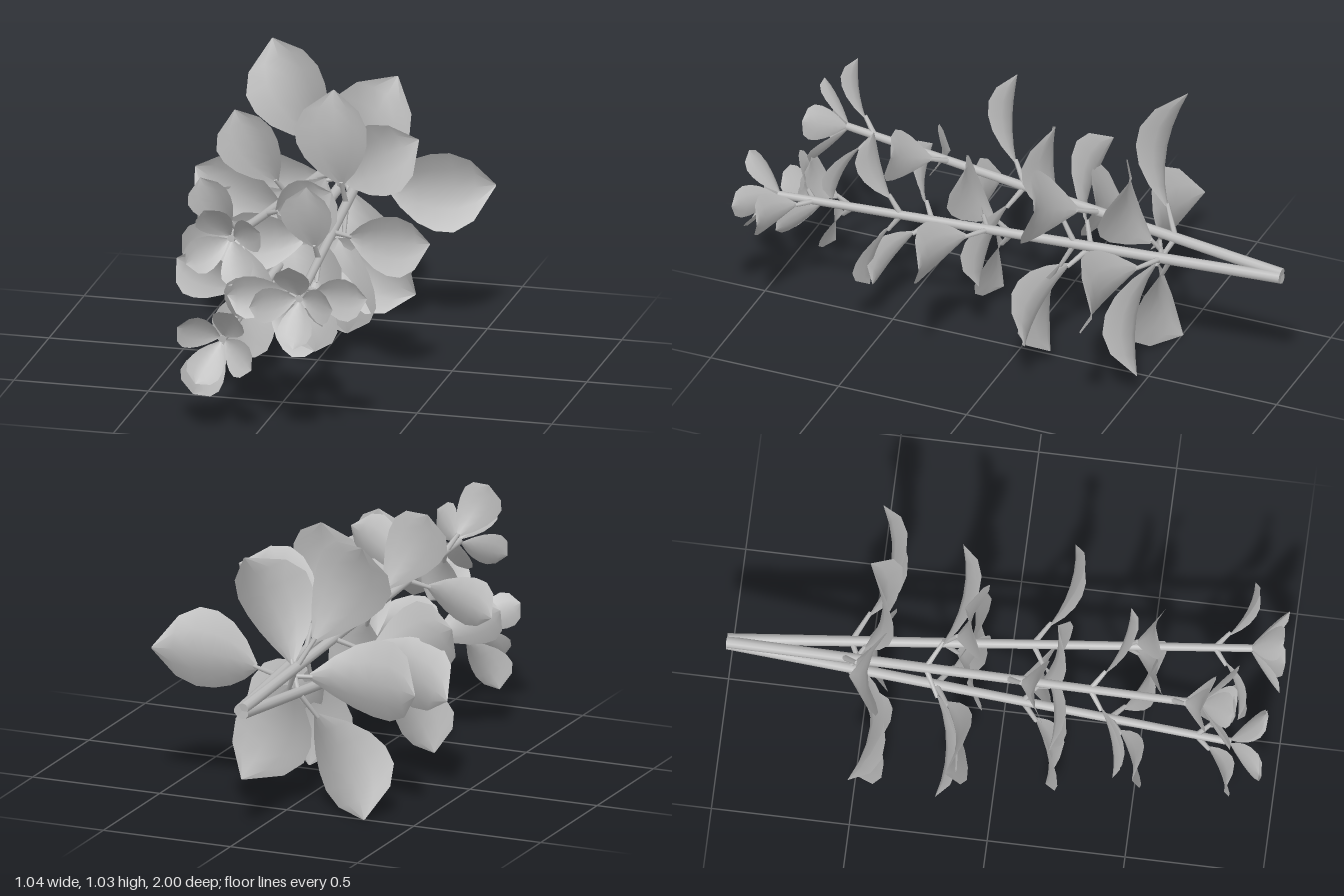
import * as THREE from 'three';

const AXIS = new THREE.Vector2(-0.045, 0.533); // where the stems meet, in x and y
const BASE_Z = -1;

// Half width of a blade from its base to its tip
const OUTLINE = [0.08, 0.5, 0.8, 0.97, 1, 0.76, 0.02];

// Leaf pairs from oldest to youngest: reach, width, and height of the base, middle and tip
const NODES = [
  { reach: 0.52, width: 0.30, base: 0.045, mid: 0.10, tip: 0.045 },
  { reach: 0.46, width: 0.27, base: 0.045, mid: 0.10, tip: 0.08 },
  { reach: 0.39, width: 0.23, base: 0.045, mid: 0.10, tip: 0.10 },
  { reach: 0.31, width: 0.19, base: 0.04, mid: 0.095, tip: 0.11 },
  { reach: 0.26, width: 0.16, base: 0.04, mid: 0.095, tip: 0.11 },
];
const BUD = { reach: 0.155, width: 0.13, base: 0.005, mid: 0.06, tip: 0.125, start: 0.012 };

// Stems: direction of lean, first node, node spacing and tip along z
const STEMS = [
  { angle: 3, first: -0.55, step: 0.325, tip: 0.88 },
  { angle: 117, first: -0.57, step: 0.30, tip: 0.735 },
  { angle: 243, first: -0.55, step: 0.317, tip: 0.84 },
];

// Cupped blade growing along +x, with its upper face towards +z
function bladeGeometry(p) {
  const start = p.start ?? p.reach * 0.2;
  const g = new THREE.PlaneGeometry(1, 2, OUTLINE.length - 1, 4);
  const pos = g.attributes.position;
  for (let i = 0; i < pos.count; i++) {
    const t = pos.getX(i) + 0.5;
    const u = pos.getY(i);
    const half = OUTLINE[Math.round(t * (OUTLINE.length - 1))] * p.width / 2;
    // Midrib: a parabola through base, middle and tip
    const rib = p.base * (1 - t) * (1 - 2 * t) + p.mid * 4 * t * (1 - t) + p.tip * t * (2 * t - 1);
    pos.setXYZ(i, start + (p.reach - start) * t, u * half, rib + 0.38 * half * u * u);
  }
  g.computeVertexNormals();
  return g;
}

// Tapered rod between two points
function rod(a, b, r0, r1, sides, material) {
  const dir = b.clone().sub(a);
  const mesh = new THREE.Mesh(new THREE.CylinderGeometry(r1, r0, dir.length(), sides), material);
  mesh.position.copy(a).add(b).multiplyScalar(0.5);
  mesh.quaternion.setFromUnitVectors(new THREE.Vector3(0, 1, 0), dir.normalize());
  return mesh;
}

export function createModel() {
  const grey = new THREE.MeshStandardMaterial({ color: 0xbbbbbb, side: THREE.DoubleSide });
  grey.name = 'plainGrey';
  const model = new THREE.Group();
  model.name = 'leafySprig';

  const nodeBlades = NODES.map(bladeGeometry);
  const budBlade = bladeGeometry(BUD);

  function leaf(geometry, p, angle, name) {
    const g = new THREE.Group();
    g.name = name;
    const blade = new THREE.Mesh(geometry, grey);
    blade.name = 'blade';
    g.add(blade);
    if (p !== BUD) {
      const end = new THREE.Vector3(p.reach * 0.2 + 0.01, 0, p.base + 0.004);
      const petiole = rod(new THREE.Vector3(0, 0, -0.005), end, 0.011, 0.008, 6, grey);
      petiole.name = 'petiole';
      g.add(petiole);
    }
    g.rotation.z = angle;
    return g;
  }

  for (const s of STEMS) {
    const angle = THREE.MathUtils.degToRad(s.angle);
    const branch = new THREE.Group();
    branch.name = 'branch';
    // Point on the leaning stem at a given z
    const at = (z) => {
      const r = 0.01 + 0.104 * (z - BASE_Z);
      return new THREE.Vector3(AXIS.x + r * Math.cos(angle), AXIS.y + r * Math.sin(angle), z);
    };

    const stem = rod(at(BASE_Z), at(s.tip), 0.021, 0.014, 10, grey);
    stem.name = 'stem';
    branch.add(stem);

    // Opposite leaf pairs, each turned a quarter from the last
    NODES.forEach((p, i) => {
      for (let k = 0; k < 2; k++) {
        const l = leaf(nodeBlades[i], p, angle + i * Math.PI / 2 + k * Math.PI, 'leaf');
        l.position.copy(at(s.first + i * s.step));
        branch.add(l);
      }
    });

    // Four small leaves at the tip
    for (let k = 0; k < 4; k++) {
      const l = leaf(budBlade, BUD, angle + k * Math.PI / 2, 'tipLeaf');
      l.position.copy(at(s.tip - 0.008));
      branch.add(l);
    }
    model.add(branch);
  }
  return model;
}
